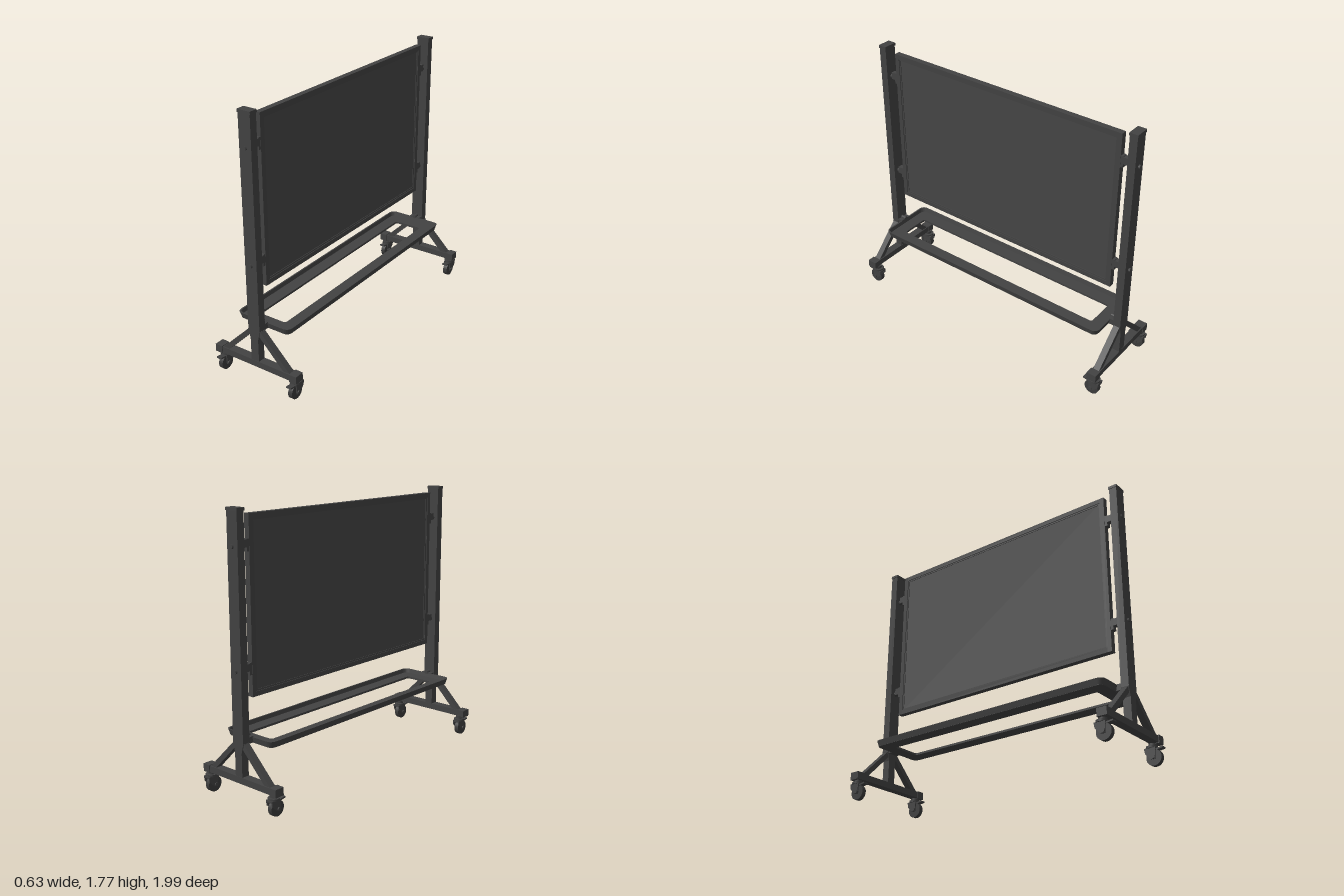
import * as THREE from 'three';

const metal = new THREE.MeshStandardMaterial({ color: 0x424242 });
metal.name = 'dark grey metal';
const slate = new THREE.MeshStandardMaterial({ color: 0x464646 });
slate.name = 'slate grey board';
const rubber = new THREE.MeshStandardMaterial({ color: 0x3c3c3c });
rubber.name = 'charcoal rubber';

function add(parent, name, geometry, material, x = 0, y = 0, z = 0) {
  const mesh = new THREE.Mesh(geometry, material);
  mesh.name = name;
  mesh.position.set(x, y, z);
  parent.add(mesh);
  return mesh;
}

function box(parent, name, w, h, d, x, y, z, material = metal) {
  return add(parent, name, new THREE.BoxGeometry(w, h, d), material, x, y, z);
}

// Cylinder lying along 'x' or 'z', or standing along 'y'
function rod(parent, name, r, length, axis, x, y, z, material = metal, sides = 20) {
  const g = new THREE.CylinderGeometry(r, r, length, sides);
  if (axis === 'x') g.rotateZ(Math.PI / 2);
  if (axis === 'z') g.rotateX(Math.PI / 2);
  return add(parent, name, g, material, x, y, z);
}

// Closed polygon extruded by depth and centred on its own depth
function slab(points, depth) {
  const shape = new THREE.Shape(points.map(([x, y]) => new THREE.Vector2(x, y)));
  return new THREE.ExtrudeGeometry(shape, { depth, bevelEnabled: false }).translate(0, 0, -depth / 2);
}

function roundedRect(target, w, h, r) {
  target.moveTo(-w + r, -h);
  target.lineTo(w - r, -h);
  target.quadraticCurveTo(w, -h, w, -h + r);
  target.lineTo(w, h - r);
  target.quadraticCurveTo(w, h, w - r, h);
  target.lineTo(-w + r, h);
  target.quadraticCurveTo(-w, h, -w, h - r);
  target.lineTo(-w, -h + r);
  target.quadraticCurveTo(-w, -h, -w + r, -h);
  return target;
}

// Flat ring lying on y = 0, given half sizes of its outline and its hole
function ring(w, l, r, hw, hl, hr, height) {
  const shape = roundedRect(new THREE.Shape(), w, l, r);
  shape.holes.push(roundedRect(new THREE.Path(), hw, hl, hr));
  const g = new THREE.ExtrudeGeometry(shape, { depth: height, bevelEnabled: false, curveSegments: 6 });
  return g.rotateX(-Math.PI / 2);
}

// Swivel caster with fork, wheel and brake lever
function caster(x, z) {
  const c = new THREE.Group();
  c.name = 'caster';
  c.position.set(x, 0, z);
  rod(c, 'swivelPlate', 0.036, 0.014, 'y', 0, 0.113, -0.015);
  rod(c, 'swivelStem', 0.025, 0.03, 'y', 0, 0.125, -0.01);
  rod(c, 'wheel', 0.05, 0.03, 'x', 0, 0.05, 0, rubber, 28);
  rod(c, 'axle', 0.012, 0.064, 'x', 0, 0.05, 0);
  // Fork cheeks, drawn in z and y
  const cheek = slab([[-0.016, 0.04], [0.012, 0.038], [0.018, 0.108], [-0.055, 0.108], [-0.05, 0.075]], 0.008);
  cheek.rotateY(-Math.PI / 2);
  for (const s of [-1, 1]) add(c, 'forkCheek', cheek, metal, s * 0.022, 0, 0);
  box(c, 'forkCrown', 0.052, 0.012, 0.068, 0, 0.103, -0.02);
  const lever = box(c, 'brakeLever', 0.036, 0.01, 0.05, 0, 0.1, 0.037);
  lever.rotation.x = -0.15;
  return c;
}

// One end stand: post, foot beam, braces and two casters
function stand(side) {
  const g = new THREE.Group();
  g.name = side > 0 ? 'frontStand' : 'backStand';
  const z = side * 0.945;
  box(g, 'post', 0.086, 1.37, 0.052, 0, 1.075, z);
  box(g, 'lowerPost', 0.058, 0.25, 0.052, 0, 0.275, z);
  add(g, 'postCollar', slab([[-0.029, 0.33], [0.029, 0.33], [0.045, 0.39], [-0.045, 0.39]], 0.052), metal, 0, 0, z);
  box(g, 'postCap', 0.094, 0.018, 0.058, 0, 1.766, z);
  box(g, 'footBeam', 0.56, 0.042, 0.056, 0, 0.157, z);
  for (const s of [-1, 1]) {
    box(g, 'beamEnd', 0.052, 0.05, 0.066, s * 0.29, 0.157, z);
    const pts = [[0.21, 0.178], [0.258, 0.178], [0.043, 0.39], [0.02, 0.368]].map(([x, y]) => [s * x, y]);
    add(g, 'brace', slab(pts, 0.042), metal, 0, 0, z);
    g.add(caster(s * 0.275, side * 0.937));
  }
  // Board pivots with clamps and outer bolts
  for (const y of [1.555, 0.825]) {
    box(g, 'clampPlate', 0.034, 0.075, 0.02, 0, y, side * 0.867);
    rod(g, 'pivot', 0.016, 0.07, 'z', 0, y, side * 0.89);
    box(g, 'clampJaw', 0.034, 0.046, 0.03, 0, y + 0.01, side * 0.892);
    rod(g, 'outerBolt', 0.013, 0.014, 'z', 0, y, side * 0.976, metal, 6);
  }
  // Tray hanger
  rod(g, 'trayPin', 0.012, 0.05, 'z', 0, 0.422, side * 0.905);
  box(g, 'trayBracket', 0.08, 0.04, 0.035, 0, 0.4, side * 0.902);
  return g;
}

export function createModel() {
  const model = new THREE.Group();
  model.name = 'mobileBoard';
  model.add(stand(1), stand(-1));

  // Board with a raised frame on both faces
  const board = new THREE.Group();
  board.name = 'board';
  model.add(board);
  box(board, 'panel', 0.02, 1.04, 1.68, 0, 1.192, 0, slate);
  for (const s of [-1, 1]) {
    box(board, 'frameSide', 0.038, 1.085, 0.03, 0, 1.192, s * 0.845);
    box(board, 'frameRail', 0.038, 0.03, 1.66, 0, 1.192 + s * 0.5275, 0);
    // Slim inner bead that steps down to the panel
    box(board, 'beadSide', 0.028, 1.025, 0.01, 0, 1.192, s * 0.825);
    box(board, 'beadRail', 0.028, 0.01, 1.64, 0, 1.192 + s * 0.5075, 0);
  }

  // Open tray: flat ring with an outward leaning lip
  const tray = new THREE.Group();
  tray.name = 'tray';
  model.add(tray);
  add(tray, 'trayFloor', ring(0.19, 0.882, 0.04, 0.1, 0.795, 0.02, 0.014), metal, 0, 0.376, 0);
  const lip = ring(0.2, 0.893, 0.045, 0.19, 0.883, 0.04, 0.038);
  const p = lip.attributes.position;
  for (let i = 0; i < p.count; i++) {
    if (p.getY(i) < 0.01) {
      p.setX(i, p.getX(i) - Math.sign(p.getX(i)) * 0.009);
      p.setZ(i, p.getZ(i) - Math.sign(p.getZ(i)) * 0.009);
    }
  }
  lip.computeVertexNormals();
  add(tray, 'trayLip', lip, metal, 0, 0.378, 0);

  return model;
}
